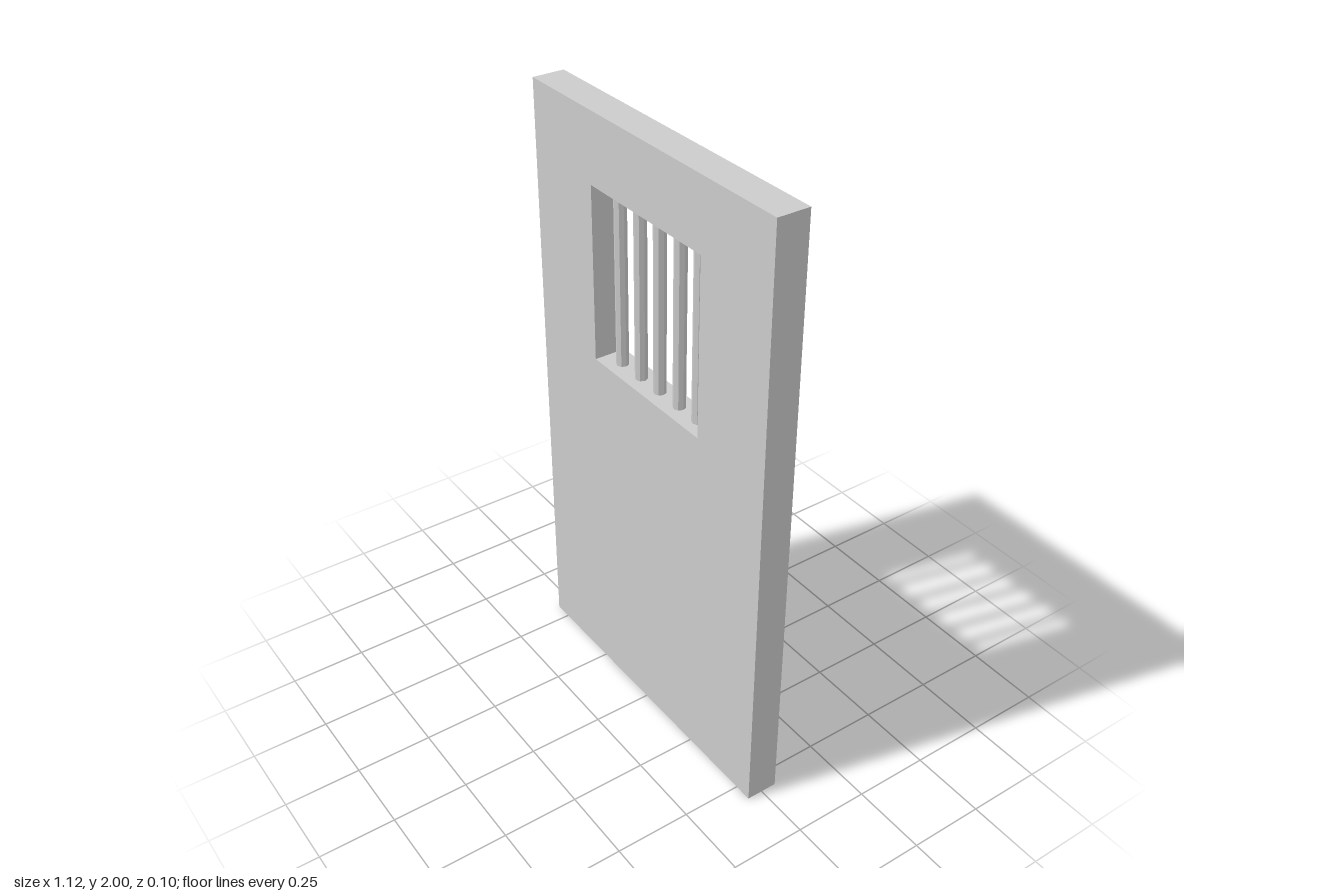
import * as THREE from 'three';

const WIDTH = 1.12, HEIGHT = 2, DEPTH = 0.105;
const WINDOW = { left: -0.263, right: 0.26, bottom: 1.2, top: 1.775 };

// Counter-clockwise rectangle corners
const rect = (x0, y0, x1, y1) => [
  new THREE.Vector2(x0, y0), new THREE.Vector2(x1, y0),
  new THREE.Vector2(x1, y1), new THREE.Vector2(x0, y1),
];

export function createModel() {
  const group = new THREE.Group();
  group.name = 'barredDoor';
  const material = new THREE.MeshStandardMaterial({ color: 0xcccccc, flatShading: true });

  // Door slab with a rectangular window opening
  const shape = new THREE.Shape(rect(-WIDTH / 2, 0, WIDTH / 2, HEIGHT));
  shape.holes.push(new THREE.Path(rect(WINDOW.left, WINDOW.bottom, WINDOW.right, WINDOW.top).reverse()));
  const slabGeometry = new THREE.ExtrudeGeometry(shape, { depth: DEPTH, bevelEnabled: false });
  slabGeometry.translate(0, 0, -DEPTH / 2);
  const slab = new THREE.Mesh(slabGeometry, material);
  slab.name = 'doorSlab';
  group.add(slab);

  // Upright window bars, ends sunk slightly into the slab
  const barHeight = WINDOW.top - WINDOW.bottom + 0.02;
  const barGeometry = new THREE.CylinderGeometry(0.02, 0.02, barHeight, 8);
  [-0.194, -0.094, 0.002, 0.1, 0.192].forEach((x, i) => {
    const bar = new THREE.Mesh(barGeometry, material);
    bar.name = `windowBar${i + 1}`;
    bar.position.set(x, (WINDOW.top + WINDOW.bottom) / 2, 0);
    group.add(bar);
  });

  return group;
}
